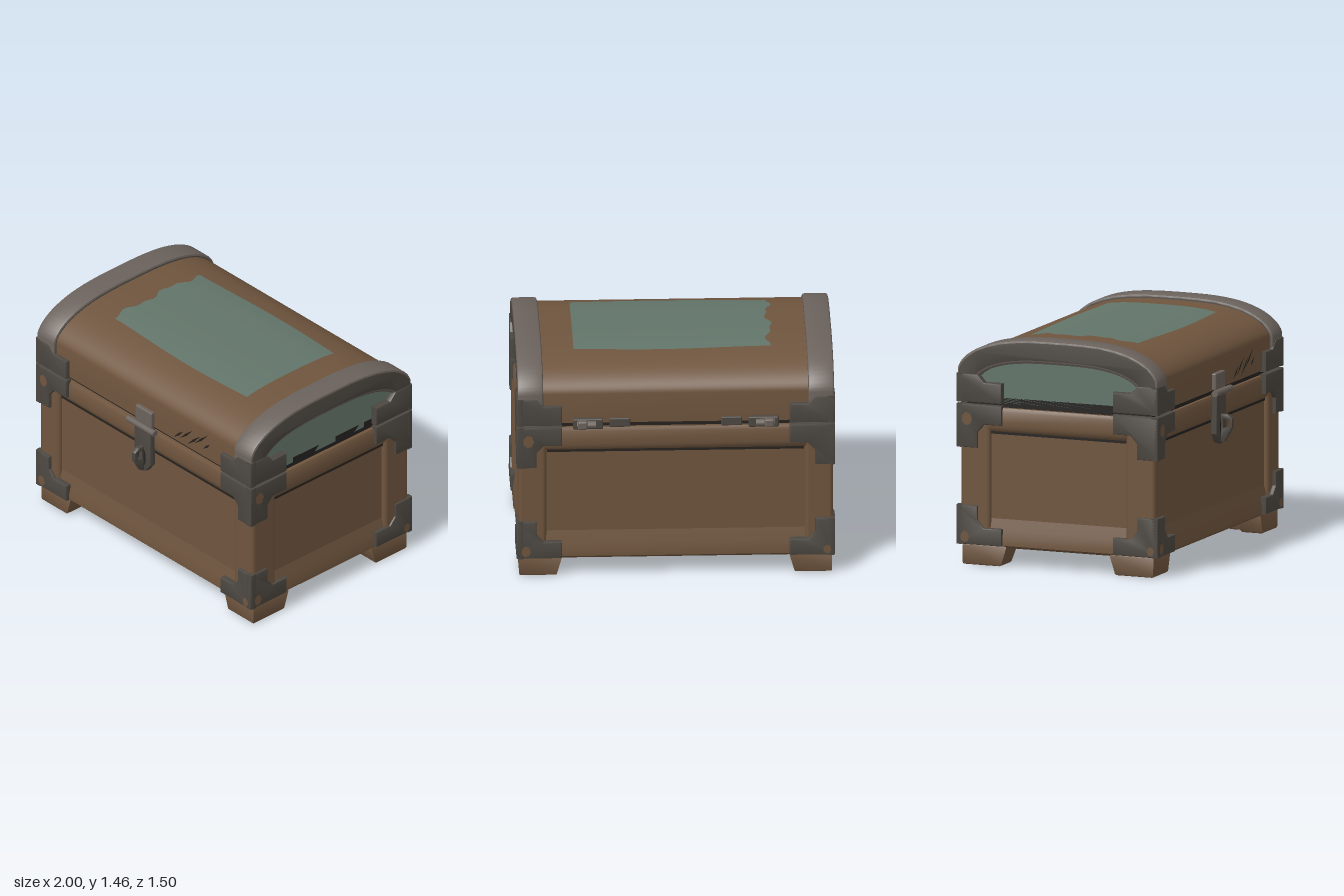
import * as THREE from 'three';
import { toCreasedNormals } from 'three/addons/utils/BufferGeometryUtils.js';
import { RoundedBoxGeometry } from 'three/addons/geometries/RoundedBoxGeometry.js';

const mat = (name, color, side = THREE.FrontSide) => {
  const m = new THREE.MeshStandardMaterial({ color, side });
  m.name = name;
  return m;
};

export function createModel() {
  const wood = mat('brown wood', 0x6f553e);
  const teal = mat('faded teal paint', 0x627469);
  const band = mat('light worn metal', 0x6b625c);
  const iron = mat('dark iron', 0x4c4741);
  const gap = mat('dark crevice', 0x25221f, THREE.DoubleSide);

  const root = new THREE.Group();
  root.name = 'treasureChest';
  const chest = new THREE.Group();
  chest.name = 'chest';
  chest.position.z = -0.02;
  root.add(chest);

  const add = (parent, name, geo, material, x = 0, y = 0, z = 0) => {
    const m = new THREE.Mesh(geo, material);
    m.name = name;
    m.position.set(x, y, z);
    parent.add(m);
    return m;
  };
  const box = (w, h, d) => new THREE.BoxGeometry(w, h, d);
  const rbox = (w, h, d, r) => new RoundedBoxGeometry(w, h, d, 3, r);
  const shapeOf = pts => new THREE.Shape(pts.map(p => new THREE.Vector2(p[0], p[1])));
  const extrude = (shape, depth, bevel = 0) => toCreasedNormals(new THREE.ExtrudeGeometry(shape, {
    depth, bevelEnabled: bevel > 0, bevelSize: bevel, bevelThickness: bevel,
    bevelOffset: -bevel, bevelSegments: 2, curveSegments: 12,
  }), 0.6);

  // Domed lid outline: flat-topped arch above straight sides
  const archY = (u, base, h) => base + h * Math.pow(Math.max(0, 1 - Math.abs(u) ** 3), 0.6);
  const arch = (half, base, h, bottom) => {
    const pts = [[-half, bottom]];
    for (let i = 0; i <= 36; i++) {
      const u = Math.sin((i / 36 - 0.5) * Math.PI);
      pts.push([u * half, archY(u, base, h)]);
    }
    pts.push([half, bottom]);
    return pts;
  };
  const alongX = (shape, from, to, bevel = 0) =>
    extrude(shape, to - from - 2 * bevel, bevel).rotateY(Math.PI / 2).translate(from + bevel, 0, 0);

  // Body core and the dark seam under the lid
  add(chest, 'bodyCore', box(1.91, 0.88, 1.265), wood, 0, 0.562, 0);
  add(chest, 'lidSeam', box(1.9, 0.09, 1.26), gap, 0, 1.025, 0);

  // Corner posts and L-shaped tapered feet
  for (const sx of [-1, 1]) for (const sz of [-1, 1]) {
    add(chest, 'cornerPost', rbox(0.175, 0.89, 0.2, 0.025), wood, sx * 0.8975, 0.567, sz * 0.5625);
    const plan = [[0.98, 0.65], [0.71, 0.65], [0.71, 0.48], [0.79, 0.48], [0.79, 0.35], [0.98, 0.35]];
    const foot = new THREE.ExtrudeGeometry(shapeOf(plan.map(([x, z]) => [sx * x, -sz * z])), {
      depth: 0.11, bevelSize: 0.015, bevelThickness: 0.012, bevelOffset: -0.015, bevelSegments: 2,
    }).rotateX(-Math.PI / 2).translate(0, 0.012, 0);
    const p = foot.attributes.position;
    for (let i = 0; i < p.count; i++) {
      const k = 0.86 + 0.14 * Math.min(1, p.getY(i) / 0.13);
      p.setX(i, sx * 0.975 + (p.getX(i) - sx * 0.975) * k);
      p.setZ(i, sz * 0.645 + (p.getZ(i) - sz * 0.645) * k);
    }
    add(chest, 'foot', toCreasedNormals(foot, 0.6), wood);
  }

  // L-shaped bracket plate; s mirrors it, v is the direction of its upright arm
  const bracket = (W, arm, upright, y0, v, h, t, s) => extrude(shapeOf([
    [W, y0], [W, y0 + v * h], [W - upright, y0 + v * h], [W - upright, y0 + v * (t + 0.05)],
    [W - upright - 0.045, y0 + v * t], [W - arm, y0 + v * t], [W - arm, y0],
  ].map(([x, y]) => [s * x, y])), 0.03, 0.01);

  // Four faces: d = distance to the face, w = half width, P/W = bracket plate limits
  const front = { d: 0.6625, w: 0.985, P: 0.688, W: 0.998, arm: 0.285, up: 0.125 };
  const side = { d: 0.985, w: 0.6625, P: 0.998, W: 0.688, arm: 0.31, up: 0.145 };
  [front, side, front, side].forEach(({ d, w, P, W, arm, up }, i) => {
    const face = new THREE.Group();
    face.name = ['frontFace', 'leftFace', 'backFace', 'rightFace'][i];
    face.rotation.y = i * Math.PI / 2;
    chest.add(face);

    // Rails around the sunken panel
    const e = d - 0.002, len = 2 * w - 0.1;
    const rail = pts => extrude(shapeOf(pts), len).rotateY(-Math.PI / 2).translate(len / 2, 0, 0);
    add(face, 'topRail', rail([[e - 0.08, 0.855], [e - 0.02, 0.855], [e - 0.004, 0.875], [e, 0.9],
      [e, 0.985], [e - 0.012, 1.008], [e - 0.08, 1.012]]), wood);
    add(face, 'bottomRail', rail([[e - 0.08, 0.12], [e - 0.015, 0.12], [e, 0.135], [e, 0.17],
      [e - 0.012, 0.23], [e - 0.03, 0.31], [e - 0.08, 0.31]]), wood);
    add(face, 'panelGroove', box(2 * w - 0.36, 0.016, 0.012), gap, 0, 0.848, d - 0.026);

    // Iron corner brackets at foot, body top and lid
    for (const s of [-1, 1]) {
      const z = P - 0.04;
      add(face, 'lowerBracket', bracket(W, arm, up, 0.13, 1, 0.25, 0.11, s), iron, 0, 0, z);
      add(face, 'upperBracket', bracket(W, arm, up, 1.022, -1, 0.275, 0.125, s), iron, 0, 0, z);
      add(face, 'lidBracket', bracket(W, arm, up, 1.035, 1, 0.18, 0.13, s), iron, 0, 0, z);
    }

    // Worn spots
    for (const [x, y, r] of [[0.06 - W, 0.18, 0.03], [W - 0.05, 0.17, 0.025], [0.075 - W, 0.93, 0.035]])
      add(face, 'wornSpot', new THREE.CircleGeometry(r, 7).scale(1, 1.25, 1), wood, x, y, P + 0.001);
  });

  // Lid: wooden dome, teal end panels, metal end bands
  add(chest, 'lidDome', alongX(shapeOf(arch(0.66, 1.24, 0.19, 1.045)), -0.86, 0.86), wood);
  const outer = arch(0.683, 1.24, 0.215, 1.035);
  const inner = arch(0.56, 1.17, 0.145, 1.035);
  for (const s of [-1, 1]) {
    const [a, b] = s > 0 ? [0.83, 0.992] : [-0.992, -0.83];
    add(chest, 'lidEndBand', alongX(shapeOf([...outer, ...inner.reverse()]), a, b, 0.015), [iron, band]);
    inner.reverse();
    const [c, d] = s > 0 ? [0.8, 0.95] : [-0.95, -0.8];
    add(chest, 'lidEndPanel', alongX(shapeOf(arch(0.6, 1.18, 0.16, 1.035)), c, d), teal);
    // Dark liner on the inside of the band
    const liner = arch(0.559, 1.17, 0.144, 1.037), thin = arch(0.553, 1.17, 0.138, 1.037);
    const [g, h] = s > 0 ? [0.94, 0.978] : [-0.978, -0.94];
    add(chest, 'lidBandLiner', alongX(shapeOf([...liner, ...thin.reverse()]), g, h), iron);
  }

  // Painted patch on top of the lid, with a ragged outline
  const patch = new THREE.PlaneGeometry(1.23, 0.75, 24, 24).rotateX(-Math.PI / 2);
  const pp = patch.attributes.position;
  for (let i = 0; i < pp.count; i++) {
    let x = pp.getX(i), z = pp.getZ(i);
    const left = Math.max(0, -x / 0.615) ** 4;
    const nx = x + 0.015 + left * 0.018 * (Math.sin(z * 17) + 0.6 * Math.sin(z * 41));
    const nz = z + 0.015 + (z / 0.375) * 0.012 * Math.sin(x * 4 + 1.2);
    pp.setXYZ(i, nx, archY(nz / 0.66, 1.24, 0.19) + 0.005, nz);
  }
  patch.computeVertexNormals();
  add(chest, 'lidPaintPatch', patch, teal);

  // Gouges on the lid front
  for (const [x, y, l] of [[0.3, 1.1, 0.12], [0.37, 1.13, 0.16], [0.44, 1.12, 0.17], [0.51, 1.16, 0.17], [0.56, 1.13, 0.08]]) {
    const gouge = add(chest, 'gouge', new THREE.ShapeGeometry(
      shapeOf([[-l / 2, 0], [0, -0.009], [l / 2, 0], [0, 0.007]])), gap, x, y, 0.6615);
    gouge.rotation.z = 0.75;
  }

  // Front latch: hasp, strap, pin and staple
  const latch = new THREE.Group();
  latch.name = 'latch';
  root.add(latch);
  add(latch, 'haspPlate', rbox(0.15, 0.11, 0.035, 0.01), band, 0, 1.1, 0.65);
  add(latch, 'strap', extrude(shapeOf([[-0.075, 1.03], [-0.075, 0.77], [-0.035, 0.715], [0, 0.7],
    [0.035, 0.715], [0.075, 0.77], [0.075, 1.03]]), 0.03, 0.008), iron, 0, 0, 0.637);
  add(latch, 'hingePin', new THREE.CylinderGeometry(0.021, 0.021, 0.25, 12).rotateZ(Math.PI / 2), band, 0, 1.035, 0.68);
  add(latch, 'strapSlot', new THREE.CircleGeometry(0.035, 20).scale(1, 2, 1), gap, 0, 0.81, 0.677);
  const staple = shapeOf([[-0.65, 0.89], [-0.72, 0.89], [-0.75, 0.865], [-0.75, 0.81], [-0.7, 0.72], [-0.65, 0.705]]);
  staple.holes.push(new THREE.Path([[-0.69, 0.8], [-0.69, 0.86], [-0.725, 0.86], [-0.725, 0.81]]
    .map(p => new THREE.Vector2(p[0], p[1]))));
  add(latch, 'staple', alongX(staple, -0.016, 0.016, 0.004), iron);

  // Back hinges and loose plates beside them
  for (const s of [-1, 1]) {
    add(root, 'hingePlate', rbox(0.19, 0.07, 0.04, 0.01), iron, s * 0.55, 1.045, -0.69);
    add(root, 'hingeKnuckle', new THREE.CylinderGeometry(0.024, 0.024, 0.12, 12).rotateZ(Math.PI / 2), band, s * 0.56, 1.045, -0.715);
    add(root, 'hingeLug', rbox(0.06, 0.055, 0.05, 0.012), band, s * 0.585, 1.05, -0.725);
    add(root, 'backPlate', rbox(0.13, 0.06, 0.025, 0.008), iron, s * 0.35, 1.045, -0.678);
  }
  return root;
}
